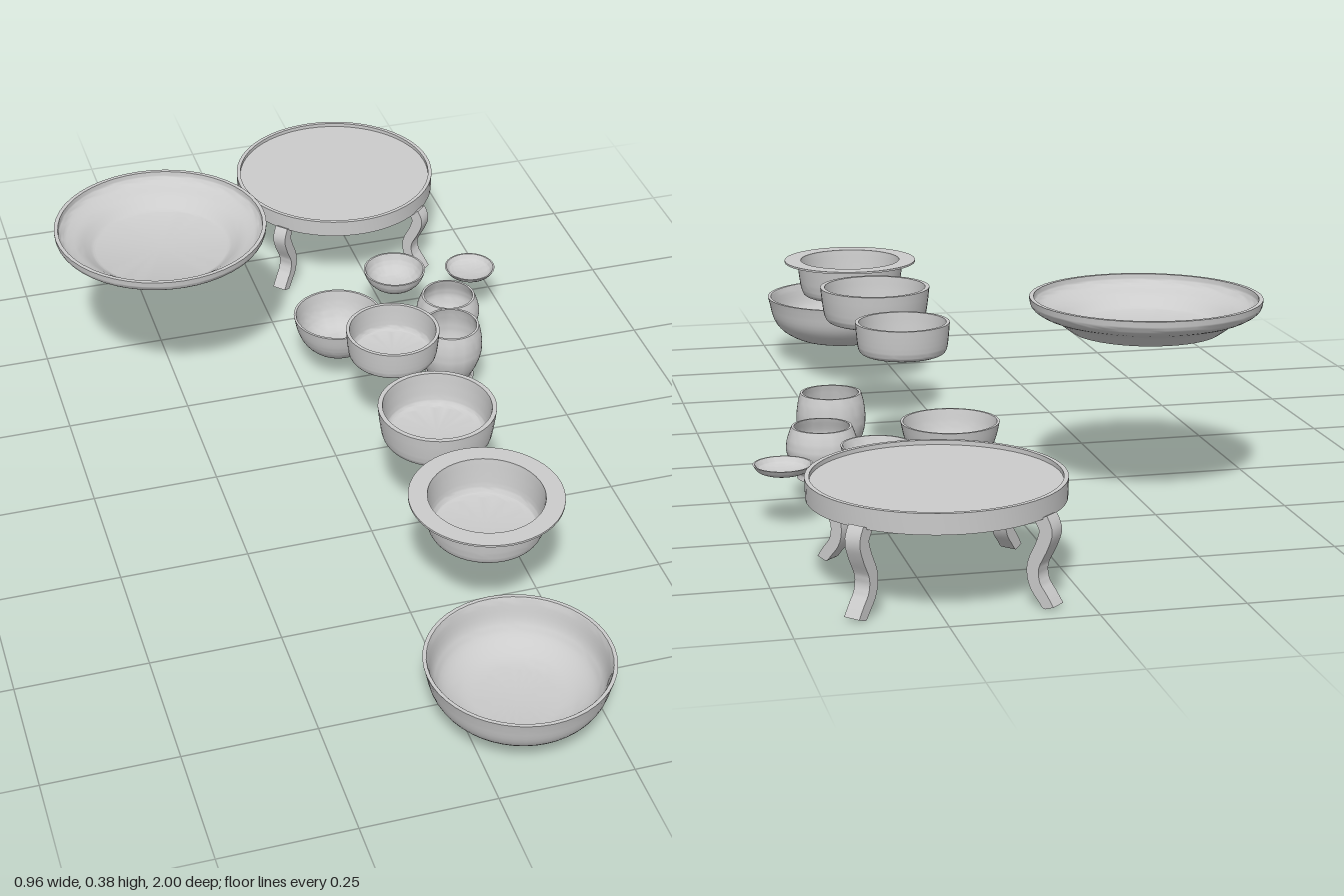
import * as THREE from 'three';
import { toCreasedNormals } from 'three/addons/utils/BufferGeometryUtils.js';

const material = new THREE.MeshStandardMaterial({ color: 0xcccccc });
const v2 = (p) => new THREE.Vector2(p[0], p[1]);

function addMesh(parent, name, geometry) {
  const mesh = new THREE.Mesh(toCreasedNormals(geometry, 0.6), material);
  mesh.name = name;
  parent.add(mesh);
  return mesh;
}

// Outer wall profile (radius, height) offset inward by a wall thickness
function vesselGeometry(profile, wall) {
  const curve = new THREE.SplineCurve(profile.map(v2));
  const base = profile[0][1], top = profile[profile.length - 1][1];
  const n = 18, outer = [], inner = [];
  for (let i = 0; i <= n; i++) {
    const p = curve.getPoint(i / n), t = curve.getTangent(i / n);
    outer.push(p);
    inner.push(new THREE.Vector2(
      Math.max(p.x - t.y * wall, 0.001),
      i === n ? top : Math.min(top, Math.max(base + wall, p.y + t.x * wall))));
  }
  const points = [new THREE.Vector2(0, base), ...outer, ...inner.reverse(), new THREE.Vector2(0, base + wall)];
  return new THREE.LatheGeometry(points, 48);
}

// Cabriole leg: a thick S-curve in the radial plane
function legGeometry() {
  const curve = new THREE.SplineCurve([[0.214, 0.153], [0.224, 0.132], [0.216, 0.105], [0.2, 0.07],
    [0.203, 0.04], [0.219, 0.018], [0.232, 0.0]].map(v2));
  const a = [], b = [];
  for (let i = 0; i <= 20; i++) {
    const p = curve.getPoint(i / 20), t = curve.getTangent(i / 20), h = 0.013 - 0.003 * i / 20;
    a.push(new THREE.Vector2(p.x - t.y * h, Math.max(0, p.y + t.x * h)));
    b.push(new THREE.Vector2(p.x + t.y * h, Math.max(0, p.y - t.x * h)));
  }
  const shape = new THREE.Shape([...a, ...b.reverse()]);
  return new THREE.ExtrudeGeometry(shape, { depth: 0.03, bevelEnabled: false }).translate(0, 0, -0.015);
}

export function createModel() {
  const model = new THREE.Group();
  model.name = 'tableware';

  // Round table with a raised rim and four curved legs
  const table = new THREE.Group();
  table.name = 'table';
  table.position.set(0.222, 0, -0.78);
  model.add(table);
  addMesh(table, 'tableTop', new THREE.LatheGeometry(
    [[0, 0.152], [0.219, 0.152], [0.22, 0.188], [0.212, 0.188], [0.212, 0.18], [0, 0.18]].map(v2), 64));
  for (let i = 0; i < 4; i++) {
    const leg = addMesh(table, 'leg', legGeometry());
    leg.rotation.y = -(THREE.MathUtils.degToRad(47) + i * Math.PI / 2);
  }

  // Dishes, bowls and cups: name, x, z, wall thickness, outer profile
  const vessels = [
    ['plate', -0.266, -0.366, 0.008,
      [[0.14, 0.318], [0.155, 0.329], [0.172, 0.341], [0.195, 0.35], [0.21, 0.36], [0.215, 0.37], [0.216, 0.38]]],
    ['largeBowl', 0.092, 0.83, 0.007,
      [[0.075, 0.048], [0.105, 0.055], [0.138, 0.074], [0.157, 0.1], [0.166, 0.135], [0.17, 0.15]]],
    ['flangedBowl', 0.123, 0.548, 0.008,
      [[0.085, 0.21], [0.1, 0.215], [0.107, 0.23], [0.111, 0.255], [0.115, 0.288]]],
    ['mediumBowl', 0.123, 0.263, 0.009,
      [[0.085, 0.213], [0.098, 0.218], [0.105, 0.23], [0.11, 0.26], [0.113, 0.288]]],
    ['smallBowl', 0.123, -0.02, 0.007,
      [[0.075, 0.212], [0.083, 0.216], [0.088, 0.226], [0.091, 0.25], [0.093, 0.276]]],
    ['roundBowl', 0.088, -0.288, 0.005,
      [[0.04, 0.062], [0.058, 0.07], [0.075, 0.088], [0.086, 0.112], [0.093, 0.143]]],
    ['sauceBowl', 0.253, -0.42, 0.004,
      [[0.024, 0.1], [0.04, 0.105], [0.054, 0.117], [0.062, 0.13], [0.066, 0.143]]],
    ['saucer', 0.425, -0.42, 0.003,
      [[0.024, 0.1], [0.037, 0.103], [0.047, 0.108], [0.054, 0.118]]],
    ['tallCup', 0.289, -0.145, 0.005,
      [[0.051, 0.05], [0.049, 0.055], [0.046, 0.06], [0.056, 0.08], [0.064, 0.105], [0.066, 0.128], [0.063, 0.155], [0.058, 0.174]]],
    ['shortCup', 0.331, -0.287, 0.005,
      [[0.047, 0.05], [0.045, 0.055], [0.047, 0.062], [0.058, 0.078], [0.066, 0.1], [0.066, 0.118], [0.06, 0.138], [0.056, 0.148]]],
  ];
  for (const [name, x, z, wall, profile] of vessels) {
    addMesh(model, name, vesselGeometry(profile, wall)).position.set(x, 0, z);
  }

  // Wide flat flange around the bowl rim
  addMesh(model, 'bowlFlange', new THREE.LatheGeometry(
    [[0.107, 0.285], [0.142, 0.286], [0.142, 0.29], [0.107, 0.29], [0.107, 0.285]].map(v2), 48))
    .position.set(0.123, 0, 0.548);

  return model;
}
